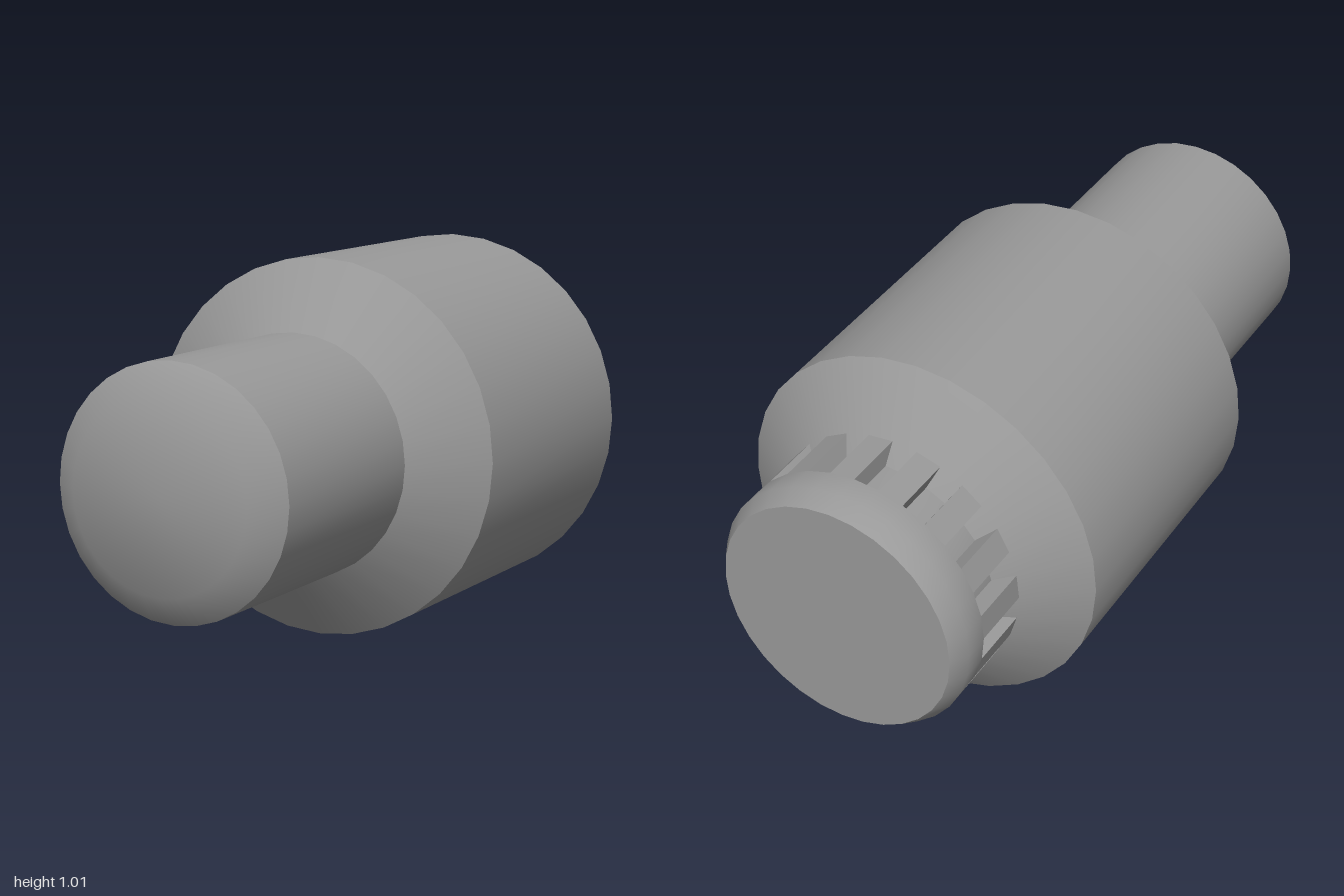
import * as THREE from 'three';
import { toCreasedNormals } from 'three/addons/utils/BufferGeometryUtils.js';
import { ConvexGeometry } from 'three/addons/geometries/ConvexGeometry.js';

const SIDES = 32;
const RADIUS = 0.505;

export function createModel() {
  const model = new THREE.Group();
  const material = new THREE.MeshStandardMaterial({ color: 0x999999 });

  // turns a [radius, z] profile around the z axis, keeping hard shoulders sharp
  const turned = (name, profile) => {
    const points = profile.map(([r, z]) => new THREE.Vector2(r, z));
    const geometry = new THREE.LatheGeometry(points, SIDES).rotateX(Math.PI / 2);
    const mesh = new THREE.Mesh(toCreasedNormals(geometry, 0.66), material);
    mesh.name = name;
    mesh.position.y = RADIUS;
    model.add(mesh);
  };

  // bevelled end cap, recessed groove, wide barrel and chamfered front shaft
  turned('body', [
    [0, -1], [0.325, -1], [0.352, -0.955], [0.352, -0.885],
    [0.3, -0.855], [0.3, -0.75], [0.352, -0.715],
    [RADIUS, -0.6], [RADIUS, 0.21], [0.322, 0.345],
    [0.322, 0.94], [0.243, 1], [0, 1],
  ]);

  // teeth that bridge the groove, leaving equal slots between them
  const teeth = new THREE.Group();
  teeth.name = 'collarTeeth';
  teeth.position.y = RADIUS;
  const section = [[0.352, -0.885], [0.3, -0.855], [0.3, -0.75], [0.352, -0.715]];
  const step = (Math.PI * 2) / SIDES;
  const corners = [0, step].flatMap((a) =>
    section.map(([r, z]) => new THREE.Vector3(r * Math.sin(a), r * Math.cos(a), z)));
  const toothGeometry = new ConvexGeometry(corners);
  for (let i = 0; i < SIDES / 2; i++) {
    const tooth = new THREE.Mesh(toothGeometry, material);
    tooth.name = 'tooth';
    tooth.rotation.z = -i * 2 * step;
    teeth.add(tooth);
  }
  model.add(teeth);

  return model;
}
